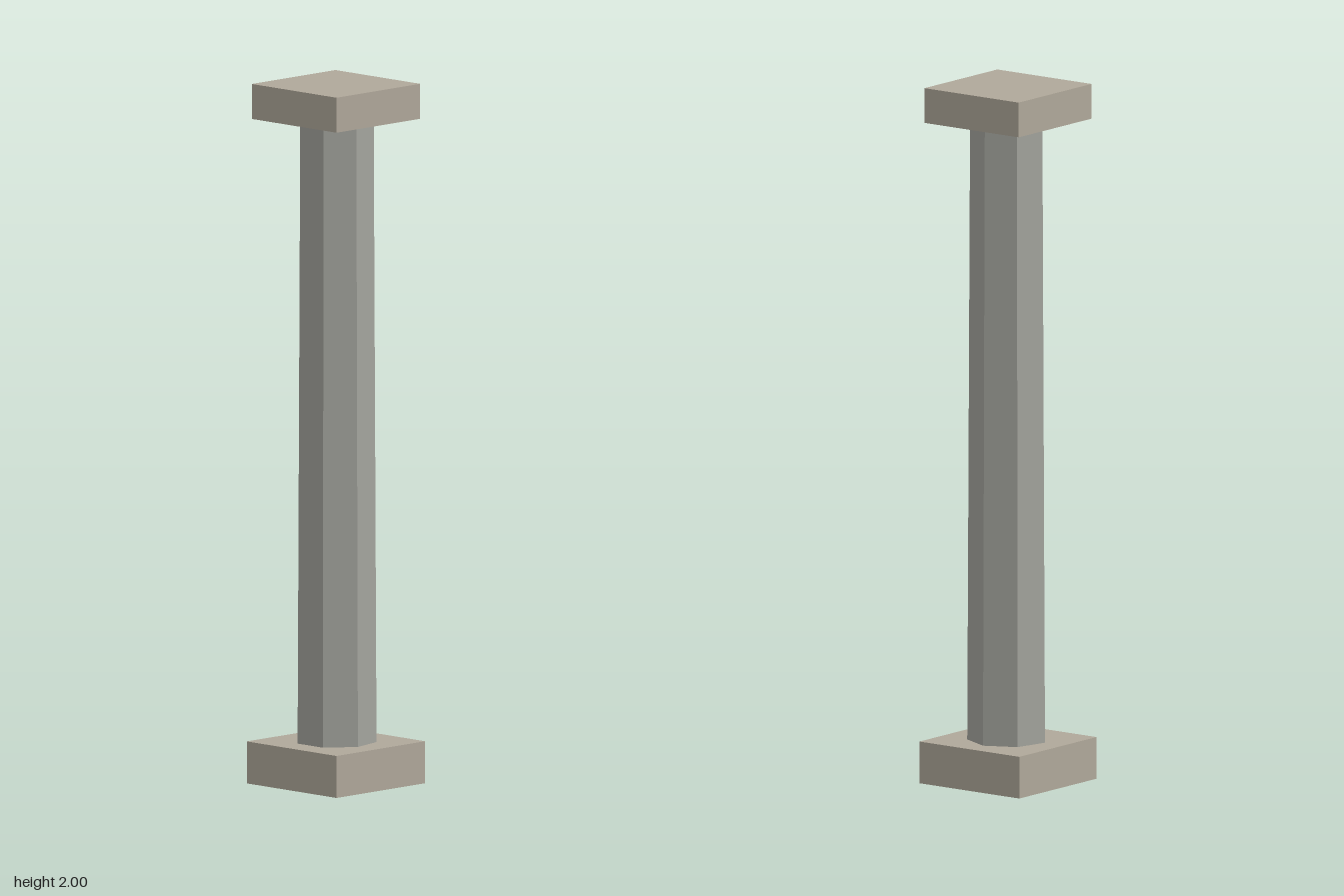
import * as THREE from 'three';

const stone = (color) =>
  new THREE.MeshStandardMaterial({ color, flatShading: true, side: THREE.DoubleSide });

// Square block, hollow and open underneath
function openBlock(name, width, bottom, top, material) {
  const height = top - bottom;
  const geo = new THREE.BoxGeometry(width, height, width);
  const index = Array.from(geo.index.array);
  index.splice(18, 6); // drop the bottom face
  geo.setIndex(index);
  geo.clearGroups();
  const mesh = new THREE.Mesh(geo, material);
  mesh.name = name;
  mesh.position.y = bottom + height / 2;
  return mesh;
}

export function createModel() {
  const group = new THREE.Group();
  group.name = 'column';
  const blockStone = stone(0xb0a89a);
  const shaftStone = stone(0xa3a49d);
  const baseTop = 0.12, capitalBottom = 1.9;

  group.add(openBlock('base', 0.356, 0, baseTop, blockStone));
  group.add(openBlock('capital', 0.336, capitalBottom, 2, blockStone));

  // Tapered seven-sided shaft, one flat facing the front and an edge at the back
  const height = capitalBottom - baseTop;
  const shaft = new THREE.Mesh(
    new THREE.CylinderGeometry(0.107, 0.115, height, 7, 1, true, Math.PI),
    shaftStone
  );
  shaft.name = 'shaft';
  shaft.position.y = baseTop + height / 2;
  group.add(shaft);

  return group;
}
